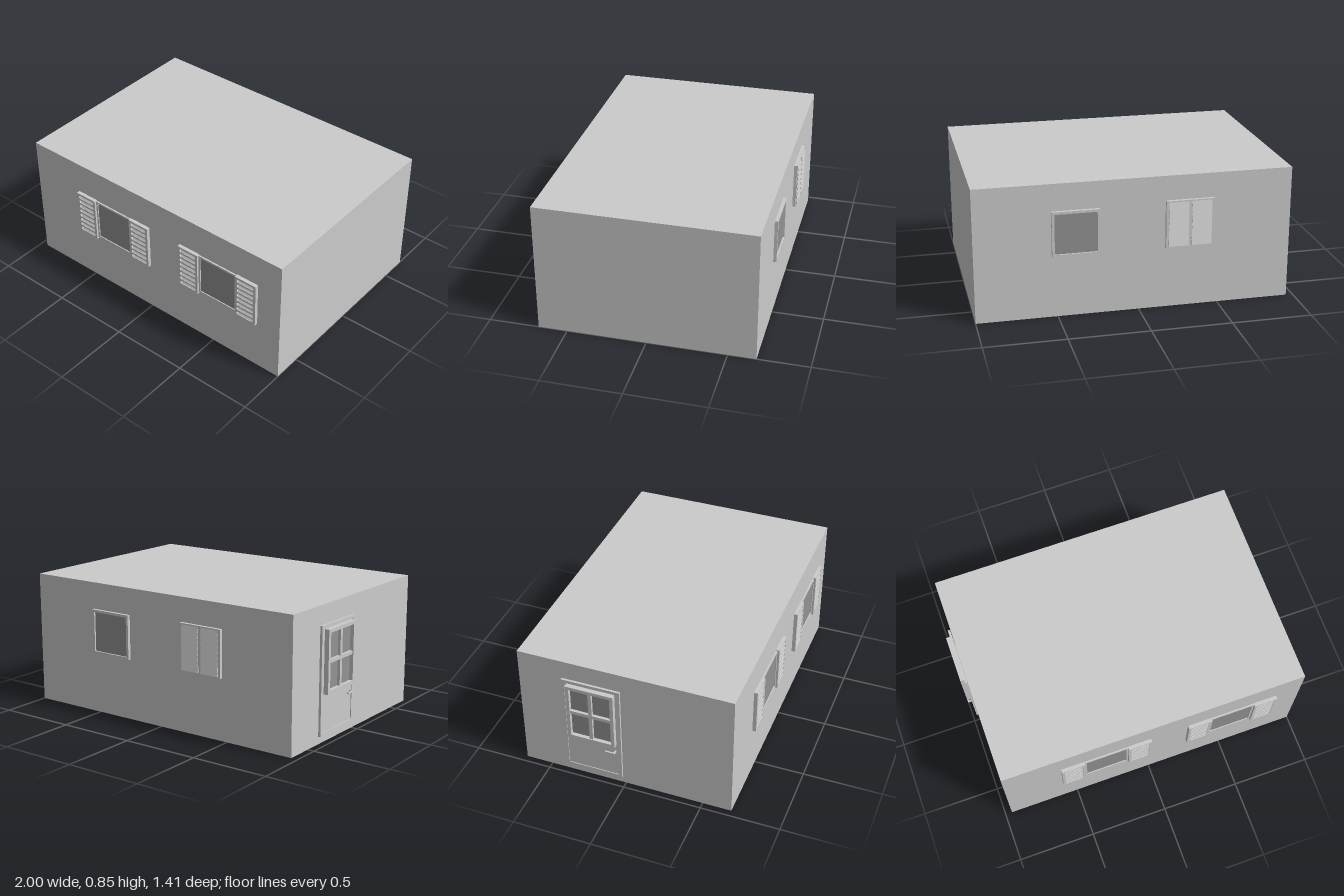
import * as THREE from 'three';

const grey = new THREE.MeshStandardMaterial({ color: 0xcccccc, flatShading: true });
const glass = new THREE.MeshStandardMaterial({ color: 0x939393, flatShading: true });

// Box given by its limits on a wall: x right, y up, z out of the wall
function slab(name, x0, x1, y0, y1, z0, z1, material = grey) {
  const mesh = new THREE.Mesh(new THREE.BoxGeometry(x1 - x0, y1 - y0, z1 - z0), material);
  mesh.position.set((x0 + x1) / 2, (y0 + y1) / 2, (z0 + z1) / 2);
  mesh.name = name;
  return mesh;
}

function rectangle(Type, x0, x1, y0, y1) {
  const s = new Type();
  s.moveTo(x0, y0).lineTo(x1, y0).lineTo(x1, y1).lineTo(x0, y1).closePath();
  return s;
}

// Slot with round ends
function slot(x0, x1, y, r) {
  const s = new THREE.Path();
  s.moveTo(x0 + r, y - r).lineTo(x1 - r, y - r);
  s.absarc(x1 - r, y, r, -Math.PI / 2, Math.PI / 2, false);
  s.lineTo(x0 + r, y + r);
  s.absarc(x0 + r, y, r, Math.PI / 2, Math.PI * 1.5, false);
  return s;
}

// Plate with holes
function plate(name, x0, x1, y0, y1, z0, z1, holes) {
  const shape = rectangle(THREE.Shape, x0, x1, y0, y1);
  shape.holes.push(...holes);
  const geometry = new THREE.ExtrudeGeometry(shape, { depth: z1 - z0, bevelEnabled: false, curveSegments: 5 });
  const mesh = new THREE.Mesh(geometry, grey);
  mesh.position.z = z0;
  mesh.name = name;
  return mesh;
}

function frame(name, x0, x1, y0, y1, z0, z1, w) {
  return plate(name, x0, x1, y0, y1, z0, z1, [rectangle(THREE.Path, x0 + w, x1 - w, y0 + w, y1 - w)]);
}

// Wedge-shaped slat whose lower edge stands out
function slat(x0, x1, y0, y1, z0, z1) {
  const profile = new THREE.Shape();
  profile.moveTo(-z0, y0).lineTo(-z0, y1).lineTo(-z1, y0).closePath();
  const geometry = new THREE.ExtrudeGeometry(profile, { depth: x1 - x0, bevelEnabled: false });
  geometry.rotateY(Math.PI / 2);
  const mesh = new THREE.Mesh(geometry, grey);
  mesh.position.x = x0;
  // The profile runs along -z after turning, so local -z0 becomes +z0
  mesh.name = 'slat';
  return mesh;
}

// Open shutter: slotted plate with a slanted slat in each slot
function slottedShutter(x0, x1, y0, y1) {
  const g = new THREE.Group();
  g.name = 'openShutter';
  const n = 8, pitch = 0.0355, holes = [];
  for (let i = 0; i < n; i++) {
    const y = (y0 + y1) / 2 + (i - (n - 1) / 2) * pitch;
    holes.push(slot(x0 + 0.015, x1 - 0.015, y, 0.011));
    g.add(slat(x0 + 0.02, x1 - 0.02, y - 0.011, y + 0.011, 0.004, 0.02));
  }
  g.add(plate('shutterPlate', x0, x1, y0, y1, 0, 0.023, holes));
  return g;
}

// Window with an open shutter on each side
function shutteredWindow(x) {
  const g = new THREE.Group();
  g.name = 'frontWindow';
  g.add(slottedShutter(-0.295, -0.143, 0.335, 0.635));
  g.add(slottedShutter(0.143, 0.295, 0.335, 0.635));
  g.add(frame('windowFrame', -0.143, 0.143, 0.345, 0.63, 0, 0.01, 0.012));
  g.add(slab('windowGlass', -0.131, 0.131, 0.357, 0.618, 0, 0.004, glass));
  g.position.x = x;
  return g;
}

// Plain framed window
function plainWindow(x0, x1, y0, y1) {
  const g = new THREE.Group();
  g.name = 'backWindow';
  g.add(frame('windowFrame', x0, x1, y0, y1, 0, 0.02, 0.016));
  g.add(slab('windowGlass', x0 + 0.016, x1 - 0.016, y0 + 0.016, y1 - 0.016, 0, 0.01, glass));
  return g;
}

// Window hidden by two closed louvred shutters
function closedShutters(x0, x1, y0, y1) {
  const g = new THREE.Group();
  g.name = 'closedShutters';
  g.add(slab('shutterBacking', x0, x1, y0, y1, 0, 0.02));
  const mid = (x0 + x1) / 2, n = 8, pitch = (y1 - y0 - 0.02) / n;
  for (const [a, b] of [[x0 + 0.016, mid - 0.01], [mid + 0.01, x1 - 0.016]])
    for (let i = 0; i < n; i++) {
      const y = y0 + 0.012 + i * pitch;
      g.add(slat(a, b, y, y + pitch, 0.02, 0.03));
    }
  return g;
}

// Door with a four-pane window and a lever handle
function door() {
  const g = new THREE.Group();
  g.name = 'door';
  const x0 = -0.39, x1 = -0.018;
  g.add(slab('doorLeaf', x0 + 0.02, x1 - 0.02, 0.065, 0.705, 0, 0.01));
  g.add(frame('doorCasing', x0, x1, 0.05, 0.725, 0, 0.015, 0.02));
  const a = -0.355, b = -0.05, c = 0.305, d = 0.7, mx = (a + b) / 2, my = (c + d) / 2;
  g.add(frame('doorWindowFrame', a, b, c, d, 0.005, 0.04, 0.022));
  g.add(slab('doorGlass', a + 0.02, b - 0.02, c + 0.02, d - 0.02, 0.005, 0.016, glass));
  g.add(slab('uprightBar', mx - 0.011, mx + 0.011, c + 0.02, d - 0.02, 0.01, 0.034));
  g.add(slab('crossBar', a + 0.02, b - 0.02, my - 0.011, my + 0.011, 0.01, 0.034));
  g.add(slab('handleStem', -0.062, -0.052, 0.25, 0.26, 0.005, 0.04));
  g.add(slab('handleLever', -0.115, -0.052, 0.25, 0.26, 0.03, 0.04));
  return g;
}

export function createModel() {
  const model = new THREE.Group();
  model.name = 'house';
  model.add(slab('walls', -0.957, 1, 0, 0.845, -0.675, 0.683));

  // Front wall
  const front = new THREE.Group();
  front.name = 'frontWallParts';
  front.position.z = 0.683;
  front.add(shutteredWindow(-0.294), shutteredWindow(0.541));

  // Back wall, turned half round
  const back = new THREE.Group();
  back.name = 'backWallParts';
  back.position.z = -0.675;
  back.rotation.y = Math.PI;
  back.add(plainWindow(-0.532, -0.24, 0.39, 0.675), closedShutters(0.165, 0.465, 0.39, 0.69));

  // Door wall
  const side = new THREE.Group();
  side.name = 'doorWallParts';
  side.position.x = -0.96;
  side.rotation.y = -Math.PI / 2;
  side.add(door());

  model.add(front, back, side);
  return model;
}
